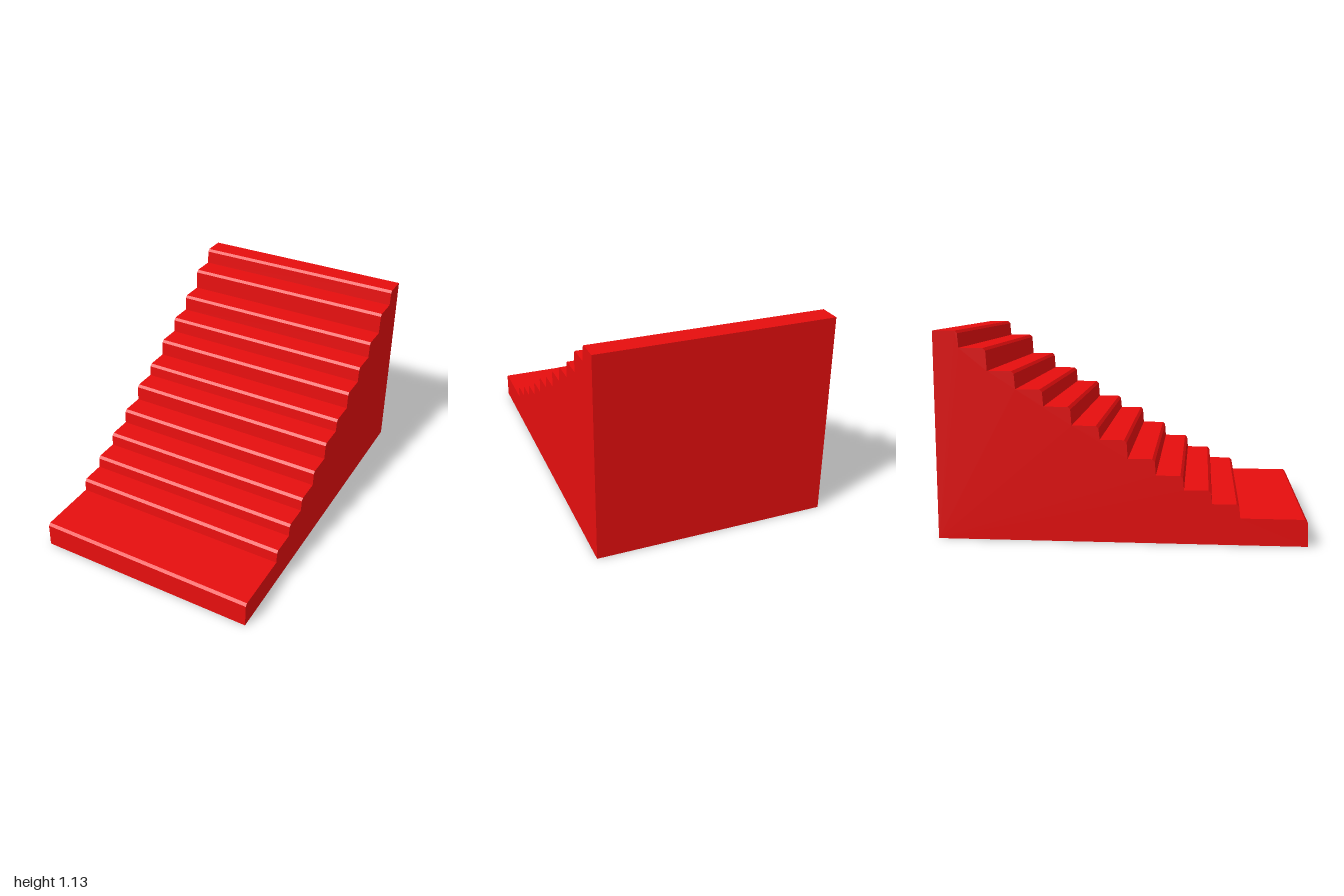
import * as THREE from 'three';

const WIDTH = 1.29;
const DEPTH = 2;
// Height of each tread, from the deep bottom landing to the top step
const TREADS = [0.147, 0.222, 0.295, 0.372, 0.46, 0.56, 0.635, 0.735, 0.826, 0.922, 1.044, 1.135];
const FIRST_RISER = 0.64; // z of the riser behind the landing
const GOING = 0.15;       // depth of each regular step
const LEAN = 0.006;       // risers lean back slightly
const BEVEL = 0.014;      // chamfer along each nosing

// Side profile, drawn with u = -z so that it climbs towards the back
function stairProfile() {
  const shape = new THREE.Shape();
  shape.moveTo(-DEPTH / 2, 0);
  TREADS.forEach((y, i) => {
    const u = i === 0 ? -DEPTH / 2 : -FIRST_RISER + GOING * (i - 1);
    if (i > 0) shape.lineTo(u, TREADS[i - 1]);
    shape.lineTo(u + LEAN, y - BEVEL);
    shape.lineTo(u + LEAN + BEVEL, y);
  });
  shape.lineTo(DEPTH / 2, TREADS[TREADS.length - 1]);
  shape.lineTo(DEPTH / 2, 0);
  shape.closePath();
  return shape;
}

export function createModel() {
  const group = new THREE.Group();
  group.name = 'staircase';

  // Solid flight of steps, extruded across its width
  const geometry = new THREE.ExtrudeGeometry(stairProfile(), { depth: WIDTH, bevelEnabled: false });
  geometry.rotateY(Math.PI / 2);
  geometry.translate(-WIDTH / 2, 0, 0);

  const material = new THREE.MeshStandardMaterial({ color: 0xe60e0e, flatShading: true });
  const steps = new THREE.Mesh(geometry, material);
  steps.name = 'solidSteps';
  group.add(steps);
  return group;
}
